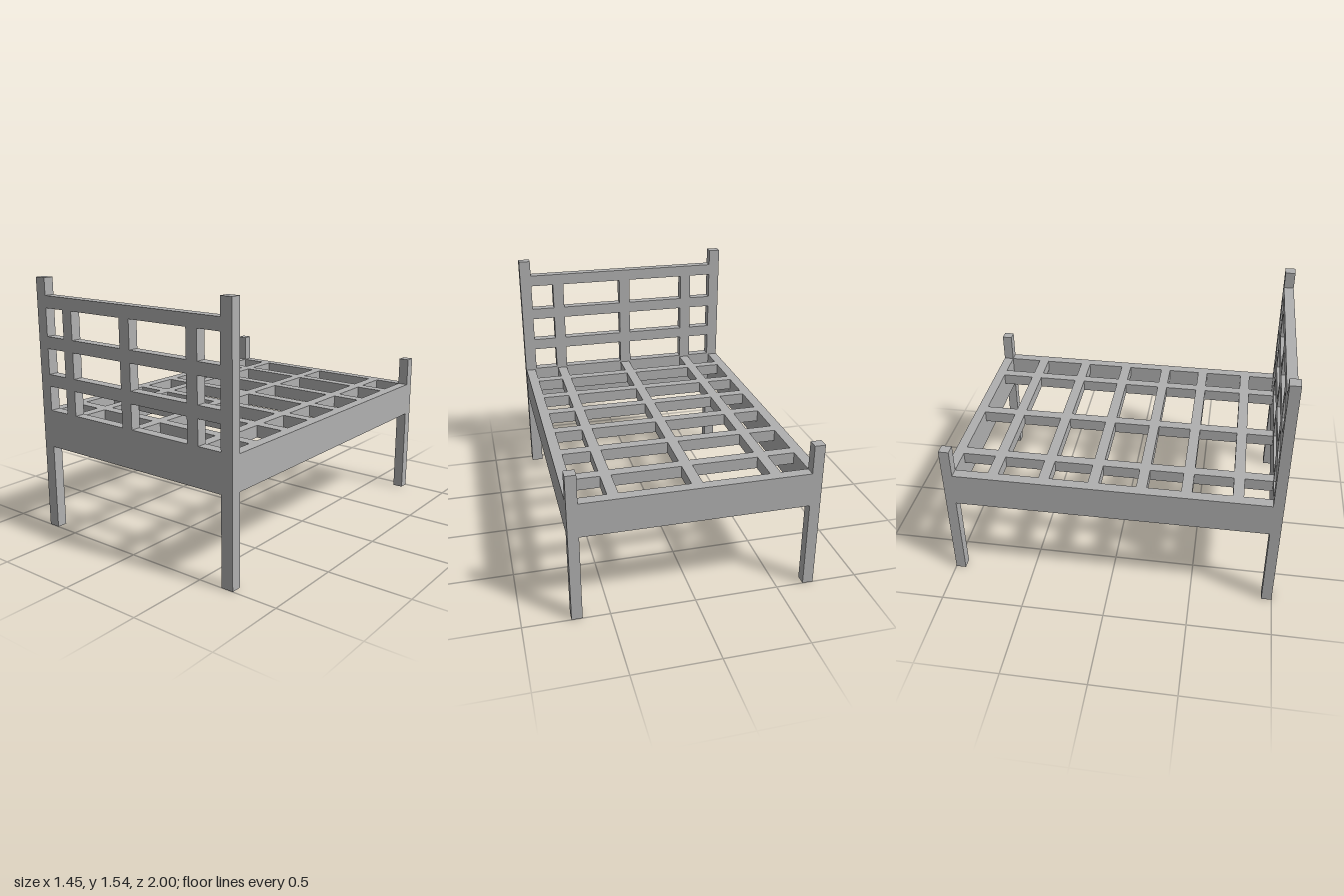
import * as THREE from 'three';

export function createModel() {
  const bed = new THREE.Group();
  bed.name = 'bed';
  const grey = new THREE.MeshStandardMaterial({ color: 0xb0b0b0 });
  grey.name = 'plain grey';

  // Box given by its [min, max] extents on each axis
  const bar = (name, parent, [x0, x1], [y0, y1], [z0, z1]) => {
    const mesh = new THREE.Mesh(new THREE.BoxGeometry(x1 - x0, y1 - y0, z1 - z0), grey);
    mesh.position.set((x0 + x1) / 2, (y0 + y1) / 2, (z0 + z1) / 2);
    mesh.name = name;
    parent.add(mesh);
  };
  const group = (name) => {
    const g = new THREE.Group();
    g.name = name;
    bed.add(g);
    return g;
  };
  // Open intervals left between the bars that cross a span
  const gaps = ([start, end], bars) => {
    const edges = [start, ...bars.flat(), end];
    return edges.filter((_, i) => i % 2 === 0).map((e, i) => [e, edges[2 * i + 1]]);
  };

  // Headboard: tall posts, solid lower panel and an open lattice
  const head = group('headboard');
  const headZ = [0.938, 1];
  const headSpan = [-0.653, 0.65];
  bar('rightHeadPost', head, [-0.726, -0.653], [0, 1.545], headZ);
  bar('leftHeadPost', head, [0.65, 0.725], [0, 1.545], headZ);
  bar('headPanel', head, headSpan, [0.523, 0.752], headZ);
  const headRails = [[0.9, 0.973], [1.128, 1.201], [1.369, 1.442]];
  for (const y of headRails) bar('headRail', head, headSpan, y, headZ);
  const uprights = [[-0.51, -0.437], [-0.053, 0.021], [0.425, 0.499]];
  for (const x of uprights) {
    for (const y of gaps([0.752, 1.369], headRails.slice(0, 2))) bar('headUpright', head, x, y, headZ);
  }

  // Footboard: short posts and one rail
  const foot = group('footboard');
  const footZ = [-1, -0.938];
  bar('rightFootPost', foot, [-0.728, -0.664], [0, 0.915], footZ);
  bar('leftFootPost', foot, [0.659, 0.722], [0, 0.915], footZ);
  bar('footRail', foot, [-0.664, 0.659], [0.535, 0.742], footZ);

  // Side rails
  const frame = group('sideRails');
  const length = [-0.938, 0.938];
  bar('rightSideRail', frame, [-0.728, -0.664], [0.535, 0.742], length);
  bar('leftSideRail', frame, [0.659, 0.722], [0.535, 0.742], length);

  // Slat grid flush with the top of the rails
  const deck = group('slatGrid');
  const slatY = [0.67, 0.742];
  const longSlats = [[-0.5, -0.436], [-0.043, 0.021], [0.429, 0.492]];
  const crossSlats = [
    [-0.738, -0.674], [-0.431, -0.367], [-0.135, -0.071],
    [0.15, 0.212], [0.413, 0.476], [0.71, 0.773],
  ];
  for (const x of longSlats) bar('longSlat', deck, x, slatY, length);
  for (const z of crossSlats) {
    for (const x of gaps([-0.664, 0.659], longSlats)) bar('crossSlat', deck, x, slatY, z);
  }
  return bed;
}
